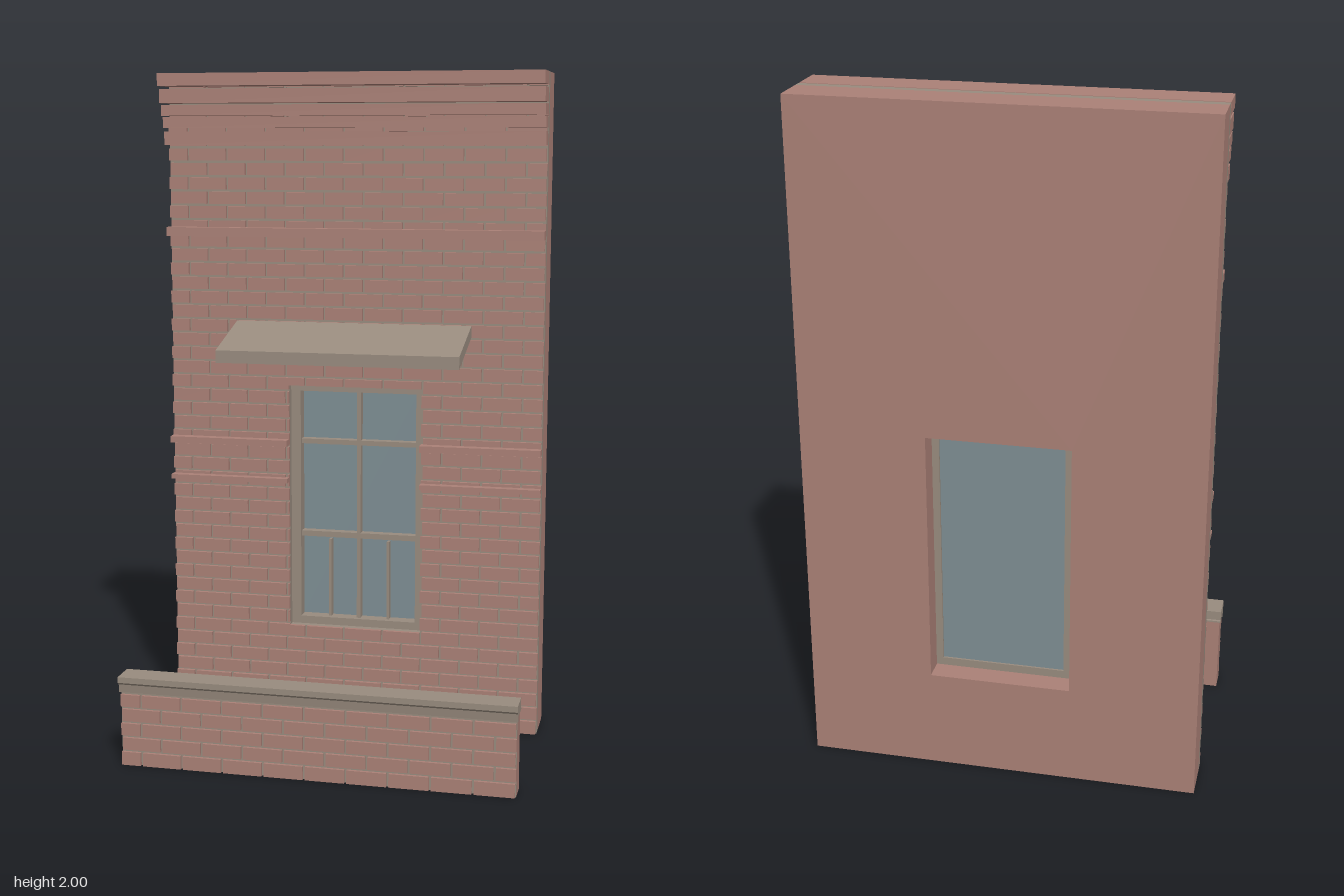
import * as THREE from 'three';
import { mergeGeometries } from 'three/addons/utils/BufferGeometryUtils.js';

const W = 0.577;                                        // half width of the wall
const HOLE = { x0: -0.203, x1: 0.211, y0: 0.298, y1: 1.06 };
const ROW = 2 / 46, LEN = 0.1215, GAP = 0.007;          // brick bond

const material = (name, color) => {
  const m = new THREE.MeshStandardMaterial({ color });
  m.name = name;
  return m;
};

// Box from its minimum and maximum corners
function box(x0, x1, y0, y1, z0, z1) {
  const g = new THREE.BoxGeometry(x1 - x0, y1 - y0, z1 - z0);
  return g.translate((x0 + x1) / 2, (y0 + y1) / 2, (z0 + z1) / 2);
}

// Rectangular slab with a rectangular hole
function slab(o, h, z0, z1) {
  const s = new THREE.Shape([[o.x0, o.y0], [o.x1, o.y0], [o.x1, o.y1], [o.x0, o.y1]]
    .map(p => new THREE.Vector2(...p)));
  s.holes.push(new THREE.Path([[h.x0, h.y0], [h.x0, h.y1], [h.x1, h.y1], [h.x1, h.y0]]
    .map(p => new THREE.Vector2(...p))));
  return new THREE.ExtrudeGeometry(s, { depth: z1 - z0, bevelEnabled: false }).translate(0, 0, z0);
}

// Parts of a rectangle left after cutting out the window opening
function cut(x0, x1, y0, y1) {
  const h = HOLE;
  if (x1 <= h.x0 || x0 >= h.x1 || y1 <= h.y0 || y0 >= h.y1) return [[x0, x1, y0, y1]];
  const a = Math.max(x0, h.x0), b = Math.min(x1, h.x1);
  return [[x0, h.x0, y0, y1], [h.x1, x1, y0, y1], [a, b, y0, h.y0], [a, b, h.y1, y1]]
    .filter(r => r[1] - r[0] > 0.001 && r[3] - r[2] > 0.001);
}

// Running-bond brick facing up to a given height
function bricks(top, z0, z1, opening) {
  const list = [];
  for (let r = 0; r * ROW < top - 0.01; r++) {
    const y0 = r * ROW + (r ? GAP / 2 : 0), y1 = Math.min((r + 1) * ROW - GAP / 2, top);
    const start = 0.031 + (r % 2 ? 0 : LEN / 2) - 6 * LEN;
    for (let i = 0; i < 12; i++) {
      const x0 = Math.max(-W, start + i * LEN + GAP / 2);
      const x1 = Math.min(W, start + (i + 1) * LEN - GAP / 2);
      if (x1 - x0 < 0.003) continue;
      const parts = opening ? cut(x0, x1, y0, y1) : [[x0, x1, y0, y1]];
      for (const p of parts) list.push(box(...p, z0, z1));
    }
  }
  return mergeGeometries(list);
}

// Extrude a (z, y) profile along x, centred
function alongX(points, x0, x1) {
  const s = new THREE.Shape(points.map(([z, y]) => new THREE.Vector2(-z, y)));
  return new THREE.ExtrudeGeometry(s, { depth: x1 - x0, bevelEnabled: false })
    .rotateY(Math.PI / 2).translate(x0, 0, 0);
}

export function createModel() {
  const model = new THREE.Group();
  model.name = 'brickFacade';
  const brick = material('brick', 0xaa8076);
  const stone = material('stone', 0x988b7e);
  const glass = material('glass', 0x7e8e93);
  const add = (parent, name, geometry, mat) => {
    const m = new THREE.Mesh(geometry, mat);
    m.name = name;
    parent.add(m);
    return m;
  };

  // Main wall: backing, mortar bed and brick facing
  const wall = new THREE.Group();
  wall.name = 'wall';
  model.add(wall);
  const outline = { x0: -W, x1: W, y0: 0, y1: 2 };
  add(wall, 'wallBacking', slab(outline, HOLE, -0.343, -0.228), brick);
  add(wall, 'mortarBed', slab(outline, HOLE, -0.228, -0.202), stone);
  add(wall, 'brickFacing', bricks(2, -0.202, -0.19, true), brick);

  // Stepped cornice courses: bottom, top, front
  [[1.79, 1.829, -0.148], [1.84, 1.872, -0.137], [1.876, 1.908, -0.121],
    [1.913, 1.955, -0.106], [1.963, 2, -0.088]].forEach(([y0, y1, z], i) =>
    add(wall, 'corniceCourse' + (i + 1), box(-W, W, y0, y1, -0.196, z), brick));

  // String courses, broken by the window
  [[1.515, 1.542, -0.153], [0.872, 0.892, -0.16], [0.757, 0.771, -0.164]].forEach(([y0, y1, z], i) => {
    const parts = cut(-W, W, y0, y1).map(p => box(...p, -0.196, z));
    add(wall, 'stringCourse' + (i + 1), mergeGeometries(parts), brick);
  });

  // Window: frame, glazing bars and pane
  const win = new THREE.Group();
  win.name = 'window';
  model.add(win);
  const inner = { x0: -0.173, x1: 0.19, y0: 0.322, y1: 1.04 };
  add(win, 'windowFrame', slab(HOLE, inner, -0.276, -0.222), stone);
  add(win, 'windowPane', box(inner.x0, inner.x1, inner.y0, inner.y1, -0.27, -0.264), glass);
  const mid = (inner.x0 + inner.x1) / 2;
  const bars = [
    box(mid - 0.006, mid + 0.006, inner.y0, inner.y1, -0.264, -0.236),
    box(inner.x0, inner.x1, 0.873, 0.888, -0.264, -0.235),
    box(inner.x0, inner.x1, 0.578, 0.595, -0.264, -0.235),
  ];
  for (const s of [-1, 1]) {
    const x = mid + s * 0.092;
    bars.push(box(x - 0.004, x + 0.004, inner.y0, 0.57, -0.264, -0.24));
  }
  add(win, 'glazingBars', mergeGeometries(bars), stone);

  // Sloping canopy over the window
  add(model, 'canopy', alongX([[-0.19, 1.222], [-0.19, 1.257], [0.042, 1.192], [0.042, 1.155]],
    -0.365, 0.361), stone);

  // Low garden wall with moulded coping
  const low = new THREE.Group();
  low.name = 'lowWall';
  model.add(low);
  add(low, 'lowWallBody', box(-W, W, 0, 0.235, 0.256, 0.317), brick);
  add(low, 'lowWallMortar', box(-W, W, 0, 0.235, 0.317, 0.32), stone);
  add(low, 'lowWallBricks', bricks(0.225, 0.32, 0.329, false), brick);
  add(low, 'coping', alongX([[0.255, 0.235], [0.255, 0.24], [0.262, 0.241], [0.262, 0.27], [0.342, 0.27],
    [0.342, 0.253], [0.334, 0.246], [0.331, 0.222], [0.318, 0.222], [0.318, 0.235]], -0.58, 0.58), stone);
  return model;
}
